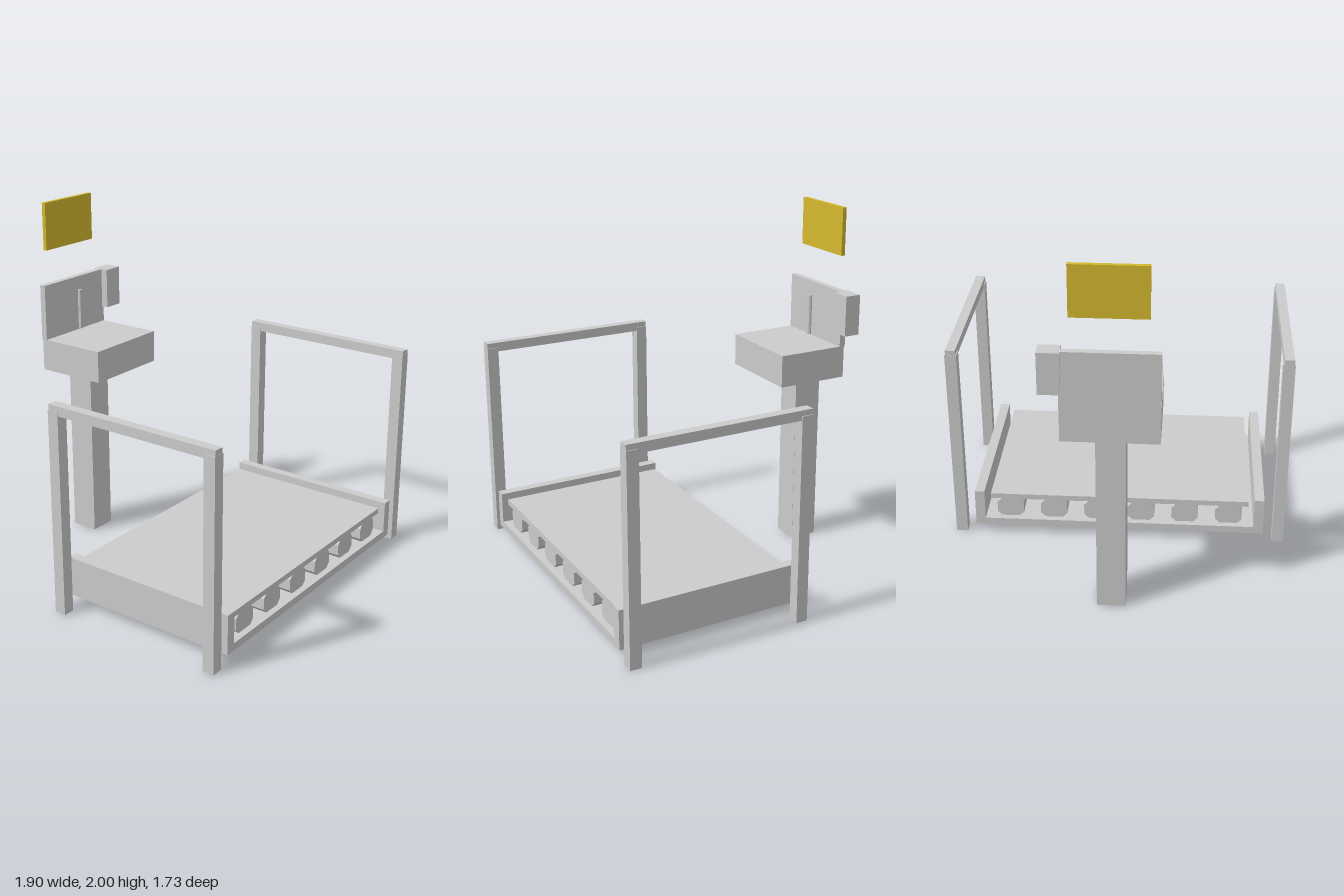
import * as THREE from 'three';

const grey = new THREE.MeshStandardMaterial({ color: 0xcccccc, flatShading: true });
const yellow = new THREE.MeshStandardMaterial({ color: 0xd4b82f, flatShading: true });

// Box given by its extents along each axis
function box(parent, name, [x0, x1], [y0, y1], [z0, z1], material = grey) {
  const mesh = new THREE.Mesh(new THREE.BoxGeometry(x1 - x0, y1 - y0, z1 - z0), material);
  mesh.position.set((x0 + x1) / 2, (y0 + y1) / 2, (z0 + z1) / 2);
  mesh.name = name;
  parent.add(mesh);
  return mesh;
}

// Extents mirrored to the given side
const onSide = (side, a, b) => (side > 0 ? [a, b] : [-b, -a]);

function createConveyor() {
  const conveyor = new THREE.Group();
  conveyor.name = 'conveyor';
  const depth = [-0.167, 0.865];

  // Tray: floor between two side walls
  box(conveyor, 'trayFloor', [-0.777, 0.777], [0.053, 0.095], depth);
  for (const side of [-1, 1]) {
    box(conveyor, 'traySideWall', onSide(side, 0.777, 0.833), [0.053, 0.275], depth);
  }

  // Belt plate resting on the rollers
  box(conveyor, 'beltPlate', [-0.744, 0.744], [0.217, 0.249], [-0.142, 0.84]);

  // Octagonal rollers lying front to back, flats facing up and sideways
  const rollerGeometry = new THREE.CylinderGeometry(0.083, 0.083, 0.96, 8);
  rollerGeometry.rotateY(Math.PI / 8).rotateX(Math.PI / 2);
  for (let i = 0; i < 6; i++) {
    const roller = new THREE.Mesh(rollerGeometry, grey);
    roller.name = 'roller';
    roller.position.set((i - 2.5) * 0.253, 0.153, 0.349);
    conveyor.add(roller);
  }
  return conveyor;
}

function createHandrail(side) {
  const handrail = new THREE.Group();
  handrail.name = side > 0 ? 'leftHandrail' : 'rightHandrail';
  const width = onSide(side, 0.887, 0.952);
  box(handrail, 'frontPost', width, [0, 1.15], [0.8, 0.865]);
  box(handrail, 'backPost', width, [0, 1.15], [-0.167, -0.102]);
  box(handrail, 'topRail', onSide(side, 0.892, 0.947), [1.127, 1.18], [-0.166, 0.864]);
  return handrail;
}

function createCounter() {
  const counter = new THREE.Group();
  counter.name = 'counter';
  box(counter, 'column', [-0.077, 0.077], [0, 1.04], [-0.807, -0.648]);
  box(counter, 'counterBlock', [-0.252, 0.252], [1.04, 1.222], [-0.846, -0.433]);
  box(counter, 'backPanel', [-0.252, 0.252], [1.222, 1.54], [-0.852, -0.817]);
  box(counter, 'sideBox', [0.24, 0.353], [1.312, 1.54], [-0.868, -0.776]);

  // Slim rod floating in front of the back panel
  const rod = new THREE.Mesh(new THREE.CylinderGeometry(0.013, 0.013, 0.23, 8), grey);
  rod.name = 'rod';
  rod.position.set(0, 1.357, -0.777);
  counter.add(rod);

  box(counter, 'signPanel', [-0.195, 0.195], [1.73, 2], [-0.868, -0.845], yellow);
  return counter;
}

export function createModel() {
  const model = new THREE.Group();
  model.name = 'conveyorStation';
  model.add(createConveyor(), createHandrail(1), createHandrail(-1), createCounter());
  return model;
}
